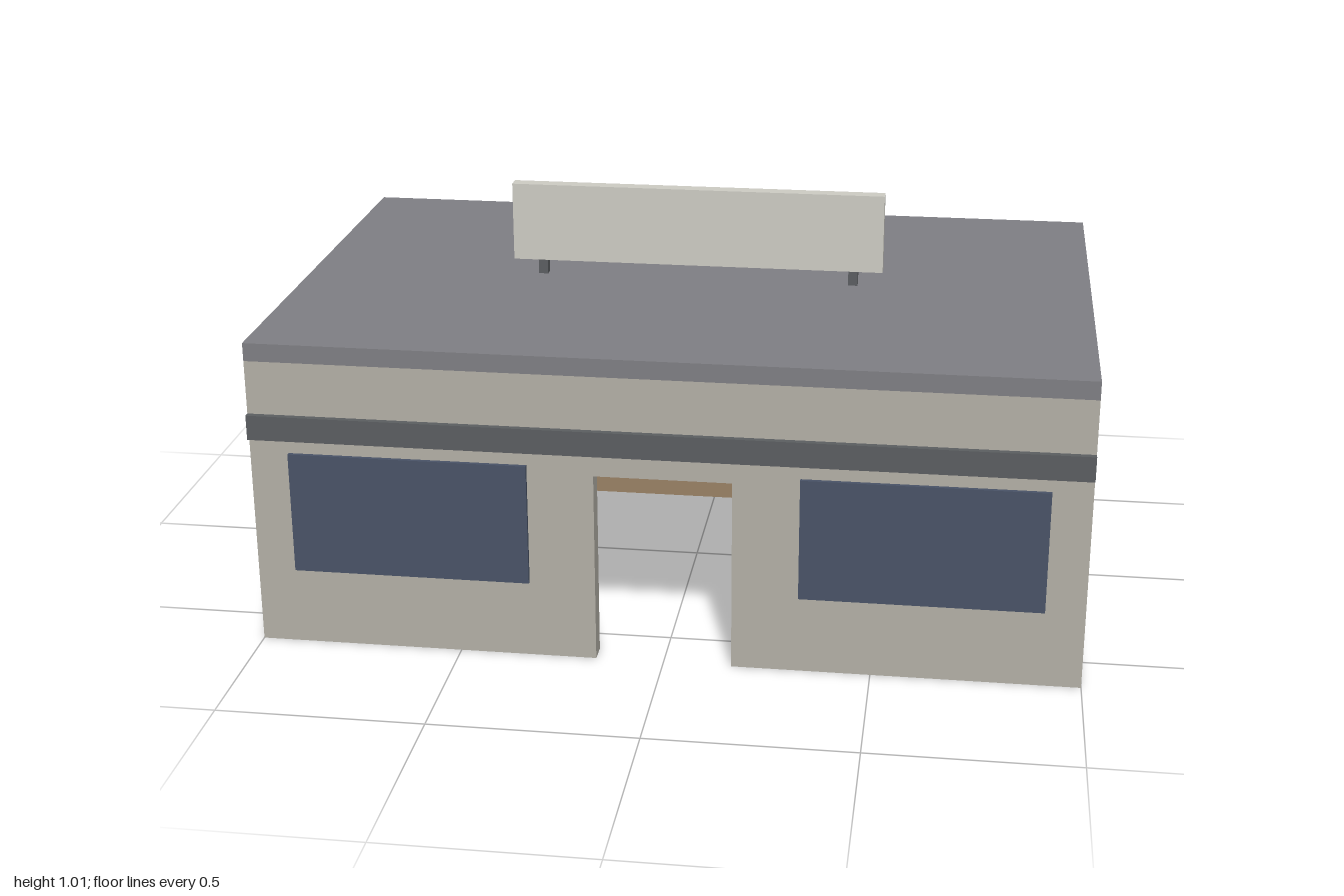
import * as THREE from 'three';

const mat = (color) => new THREE.MeshStandardMaterial({ color });

export function createModel() {
  const model = new THREE.Group();
  const wall = mat(0xb5b1a8), roofGrey = mat(0x808085), trim = mat(0x5c5f62);
  const glass = mat(0x4a5468), wood = mat(0x9b8366), seat = mat(0xb5625c), panel = mat(0xcfcec6);

  // Box given by its lower and upper limits on each axis
  const box = (name, material, [x0, x1], [y0, y1], [z0, z1], parent = model) => {
    const mesh = new THREE.Mesh(new THREE.BoxGeometry(x1 - x0, y1 - y0, z1 - z0), material);
    mesh.position.set((x0 + x1) / 2, (y0 + y1) / 2, (z0 + z1) / 2);
    mesh.name = name;
    parent.add(mesh);
    return mesh;
  };

  const T = 0.05, FRONT = 0.63, BACK = -0.645, EAVE = 0.73;

  // Front wall with an open doorway
  const s = new THREE.Shape();
  [[-1, 0], [-0.165, 0], [-0.165, 0.48], [0.165, 0.48], [0.165, 0], [1, 0], [1, EAVE], [-1, EAVE]]
    .forEach(([x, y], i) => (i ? s.lineTo(x, y) : s.moveTo(x, y)));
  const frontWall = new THREE.Mesh(
    new THREE.ExtrudeGeometry(s, { depth: T, bevelEnabled: false }), wall);
  frontWall.position.z = FRONT - T;
  frontWall.name = 'frontWall';
  model.add(frontWall);

  // Remaining walls and flat roof
  box('backWall', wall, [-1, 1], [0, EAVE], [BACK, BACK + T]);
  box('leftWall', wall, [1 - T, 1], [0, EAVE], [BACK + T, FRONT - T]);
  box('rightWall', wall, [-1, -1 + T], [0, EAVE], [BACK + T, FRONT - T]);
  box('roof', roofGrey, [-1, 1], [EAVE, 0.775], [BACK, FRONT]);

  // Facade band and windows
  box('facadeBand', trim, [-1, 1], [0.535, 0.597], [FRONT, 0.645]);
  box('leftWindow', glass, [0.325, 0.905], [0.195, 0.5], [FRONT, 0.64]);
  box('rightWindow', glass, [-0.905, -0.325], [0.195, 0.5], [FRONT, 0.64]);

  // Blank roof sign on two posts
  box('signPanel', panel, [-0.475, 0.475], [0.813, 1.013], [-0.025, 0.01]);
  for (const x of [-0.4, 0.4]) {
    box('signPost', trim, [x - 0.012, x + 0.012], [0.775, 0.813], [-0.02, 0.006]);
  }

  // Service counter in front of the back wall
  box('counter', wood, [-0.365, 0.575], [0, 0.2], [-0.55, -0.38]);

  // Three booths along the right wall: bench, table top and leg
  for (const z of [-0.295, 0, 0.295]) {
    const booth = new THREE.Group();
    booth.name = 'booth';
    booth.position.z = z;
    box('bench', seat, [-0.91, -0.75], [0, 0.14], [-0.075, 0.075], booth);
    box('tableTop', wood, [-0.725, -0.585], [0.085, 0.1], [-0.087, 0.087], booth);
    const leg = new THREE.Mesh(new THREE.CylinderGeometry(0.014, 0.014, 0.085, 8), trim);
    leg.position.set(-0.655, 0.0425, 0);
    leg.name = 'tableLeg';
    booth.add(leg);
    model.add(booth);
  }

  return model;
}
